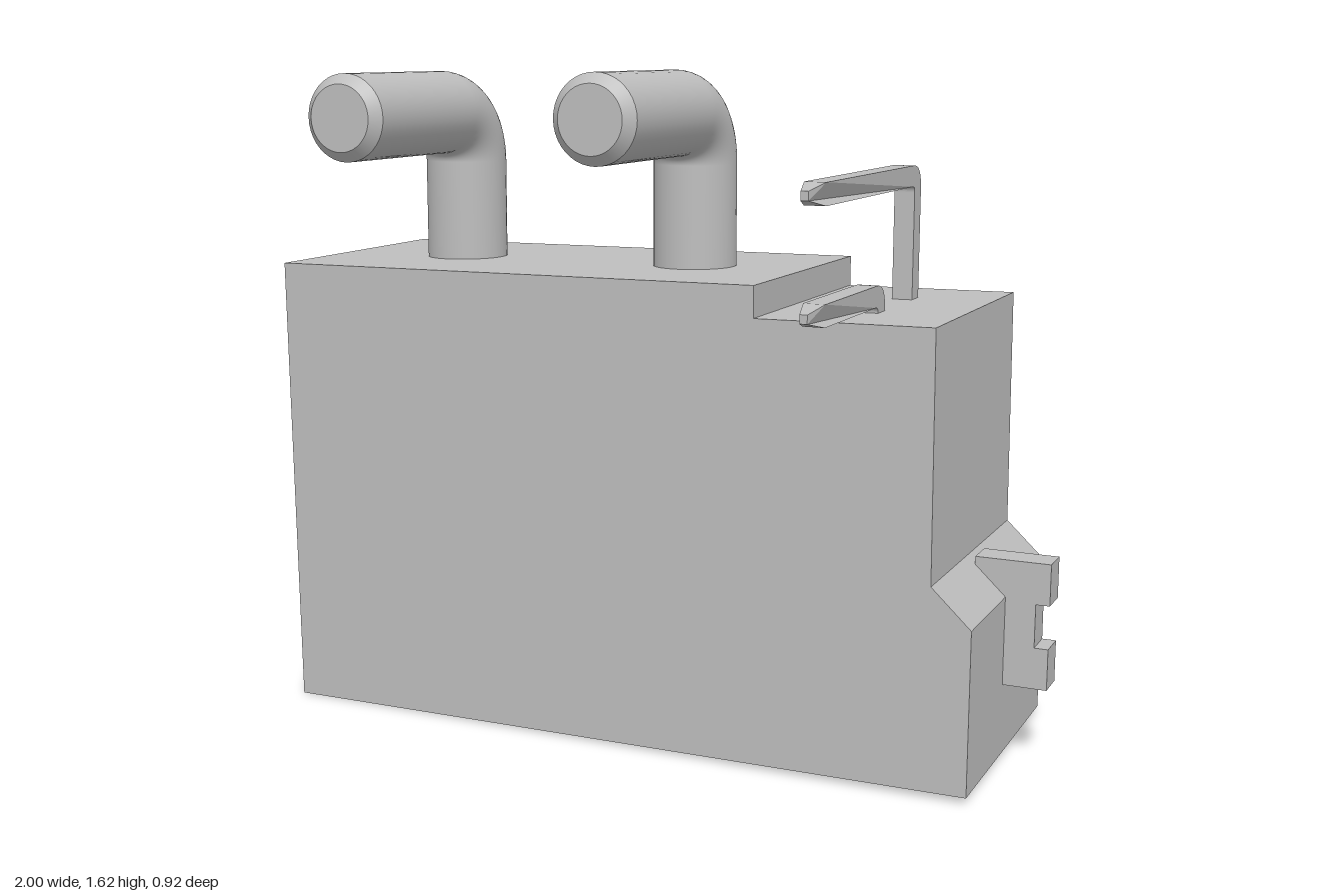
import * as THREE from 'three';

const grey = new THREE.MeshStandardMaterial({ color: 0xbebebe, side: THREE.DoubleSide });
grey.name = 'plain grey';

const FRONT = 0.21, BACK = -0.46, PIN_Z = -0.125;
const v2 = ([x, y]) => new THREE.Vector2(x, y);
const baseY = (x) => 0.005 + 0.0085 * (x + 0.89); // slightly sloping underside

function add(parent, name, geometry, x = 0, y = 0, z = 0) {
  const mesh = new THREE.Mesh(geometry, grey);
  mesh.name = name;
  mesh.position.set(x, y, z);
  parent.add(mesh);
  return mesh;
}

// Flat-faced strip of quads joining successive rings of points
function loft(rings, closed) {
  const pos = [];
  for (let r = 0; r < rings.length - 1; r++) {
    const a = rings[r], b = rings[r + 1], n = a.length;
    for (let i = 0; i < (closed ? n : n - 1); i++) {
      const j = (i + 1) % n;
      pos.push(...a[i], ...b[i], ...b[j], ...a[i], ...b[j], ...a[j]);
    }
  }
  const g = new THREE.BufferGeometry();
  g.setAttribute('position', new THREE.Float32BufferAttribute(pos, 3));
  g.computeVertexNormals();
  return g;
}

const extrude = (shape, depth) =>
  new THREE.ExtrudeGeometry(shape, { depth, bevelEnabled: false, curveSegments: 10 });

// Housing: stepped outline, open underneath with two deep cavities
function makeHousing() {
  const g = new THREE.Group();
  g.name = 'housing';
  const outline = [[0.895, 0.02], [0.895, 0.41], [0.8, 0.5], [0.795, 1.08],
    [0.37, 1.075], [0.37, 1.15], [-0.905, 1.14], [-0.89, 0.005]];
  const face = new THREE.Shape(outline.map(v2));
  add(g, 'frontWall', new THREE.ShapeGeometry(face), 0, 0, FRONT);
  const back = new THREE.ShapeGeometry(face);
  back.rotateY(Math.PI).scale(-1, 1, 1);
  back.index.array.reverse();
  back.computeVertexNormals();
  add(g, 'backWall', back, 0, 0, BACK);
  add(g, 'topAndEnds', loft([FRONT, BACK].map((z) => outline.map(([x, y]) => [x, y, z])), false));

  // Cavity mouths as [x, z]
  const small = [[0.43, -0.4], [0.84, -0.4], [0.84, 0.15], [0.43, 0.15]];
  const large = [[-0.835, -0.4], [0.36, -0.4], [0.36, 0.04], [0.16, 0.15], [-0.835, 0.15]];
  const rim = new THREE.Shape(
    [[-0.89, BACK], [0.895, BACK], [0.895, FRONT], [-0.89, FRONT]].map(v2));
  rim.holes = [small, large].map((c) => new THREE.Path(c.map(v2)));
  const rimGeo = new THREE.ShapeGeometry(rim).rotateX(Math.PI / 2);
  const p = rimGeo.attributes.position;
  for (let i = 0; i < p.count; i++) p.setY(i, baseY(p.getX(i)));
  add(g, 'bottomRim', rimGeo);

  const shrink = (pts, d) => {
    const xs = pts.map((q) => q[0]);
    const cx = (Math.min(...xs) + Math.max(...xs)) / 2, cz = -0.125;
    return pts.map(([x, z]) => [x - Math.sign(x - cx) * d, z - Math.sign(z - cz) * d]);
  };
  const at = (pts, y) => pts.map(([x, z]) => [x, y, z]);
  for (const [name, mouth, maxX] of [['smallCavity', small, 0.75], ['largeCavity', large, 9]]) {
    const inner = shrink(mouth, 0.025);
    const upper = inner.map(([x, z]) => [Math.min(x, maxX), z]);
    add(g, name + 'Walls', loft([
      mouth.map(([x, z]) => [x, baseY(x), z]), at(mouth, 0.1), at(inner, 0.12),
      at(inner, 0.36), at(upper, 0.46), at(upper, 0.95)], true));
    add(g, name + 'Ceiling',
      new THREE.ShapeGeometry(new THREE.Shape(upper.map(v2))).rotateX(Math.PI / 2), 0, 0.95, 0);
  }
  add(g, 'innerRib', new THREE.BoxGeometry(0.08, 0.9, 0.09), -0.28, 0.5, 0.1);
  return g;
}

// Round power pin: upright, quarter bend, chamfered horizontal end
function makePowerPin(x, axisY) {
  const g = new THREE.Group();
  g.name = 'powerPin';
  const r = 0.1025, bend = 0.125, y0 = 1.1, y1 = axisY - bend;
  add(g, 'pinUpright', new THREE.CylinderGeometry(r, r, y1 - y0, 40, 1, true), 0, (y0 + y1) / 2, PIN_Z);
  add(g, 'pinBend', new THREE.TorusGeometry(bend, r, 40, 20, Math.PI / 2).rotateY(Math.PI / 2), 0, y1, 0);
  add(g, 'pinArm', new THREE.CylinderGeometry(r, r, 0.425, 40, 1, true).rotateX(Math.PI / 2), 0, axisY, 0.2125);
  add(g, 'pinTip', new THREE.CylinderGeometry(r - 0.024, r, 0.025, 40).rotateX(Math.PI / 2), 0, axisY, 0.4375);

  // Split contact socket inside the cavity
  const outer = 0.12, hole = 0.085, slot = 0.16;
  for (let i = 0; i < 4; i++) {
    const a = i * Math.PI / 2 + slot, b = (i + 1) * Math.PI / 2 - slot;
    const s = new THREE.Shape();
    s.absarc(0, 0, outer, a, b, false);
    s.absarc(0, 0, hole, b, a, true);
    s.closePath();
    add(g, 'socketFinger', extrude(s, 0.26).rotateX(-Math.PI / 2), 0, 0.22, PIN_Z);
  }
  add(g, 'socketBase', new THREE.CylinderGeometry(outer, outer, 0.47, 32), 0, 0.71, PIN_Z);
  g.position.x = x;
  return g;
}

// Thin bent signal pin with pointed end; the foot drops into the housing
function makeSignalPin(name, footZ, bottom, top, tipZ) {
  const t = 0.05, R = 0.06, r = 0.015, mid = (top + bottom) / 2;
  const s = new THREE.Shape();
  s.moveTo(footZ, 1.05);
  s.lineTo(footZ + t, 1.05);
  s.lineTo(footZ + t, bottom - r);
  s.quadraticCurveTo(footZ + t, bottom, footZ + t + r, bottom);
  s.lineTo(tipZ - 0.065, bottom);
  s.lineTo(tipZ, mid - 0.01);
  s.lineTo(tipZ, mid + 0.01);
  s.lineTo(tipZ - 0.065, top);
  s.lineTo(footZ + R, top);
  s.quadraticCurveTo(footZ, top, footZ, top - R);
  s.closePath();
  const geo = extrude(s, t).translate(0, 0, -t / 2).rotateY(-Math.PI / 2);
  const p = geo.attributes.position;
  for (let i = 0; i < p.count; i++) if (p.getZ(i) > tipZ - 0.01) p.setX(i, p.getX(i) * 0.35);
  geo.computeVertexNormals();
  const mesh = new THREE.Mesh(geo, grey);
  mesh.name = name;
  mesh.position.x = 0.58;
  return mesh;
}

// Notched end tab
function makeTab(name, inner, side, y0, y1) {
  const a = y0 + 0.1, b = y1 - 0.1;
  const s = new THREE.Shape([[inner, y0], [1, y0], [1, a], [0.967, a], [0.967, b], [1, b],
    [1, y1], [inner, y1]].map(([x, y]) => new THREE.Vector2(x * side, y)));
  const mesh = new THREE.Mesh(extrude(s, 0.08), grey);
  mesh.name = name;
  mesh.position.z = -0.165;
  return mesh;
}

export function createModel() {
  const model = new THREE.Group();
  model.name = 'connector';
  model.add(
    makeHousing(),
    makePowerPin(-0.565, 1.515),
    makePowerPin(0.08, 1.522),
    makeSignalPin('upperSignalPin', -0.28, 1.35, 1.4, 0.46),
    makeSignalPin('lowerSignalPin', -0.02, 1.092, 1.142, 0.455),
    makeTab('leftTab', 0.82, 1, 0.195, 0.5),
    makeTab('rightTab', 0.88, -1, 0.175, 0.48));
  return model;
}
